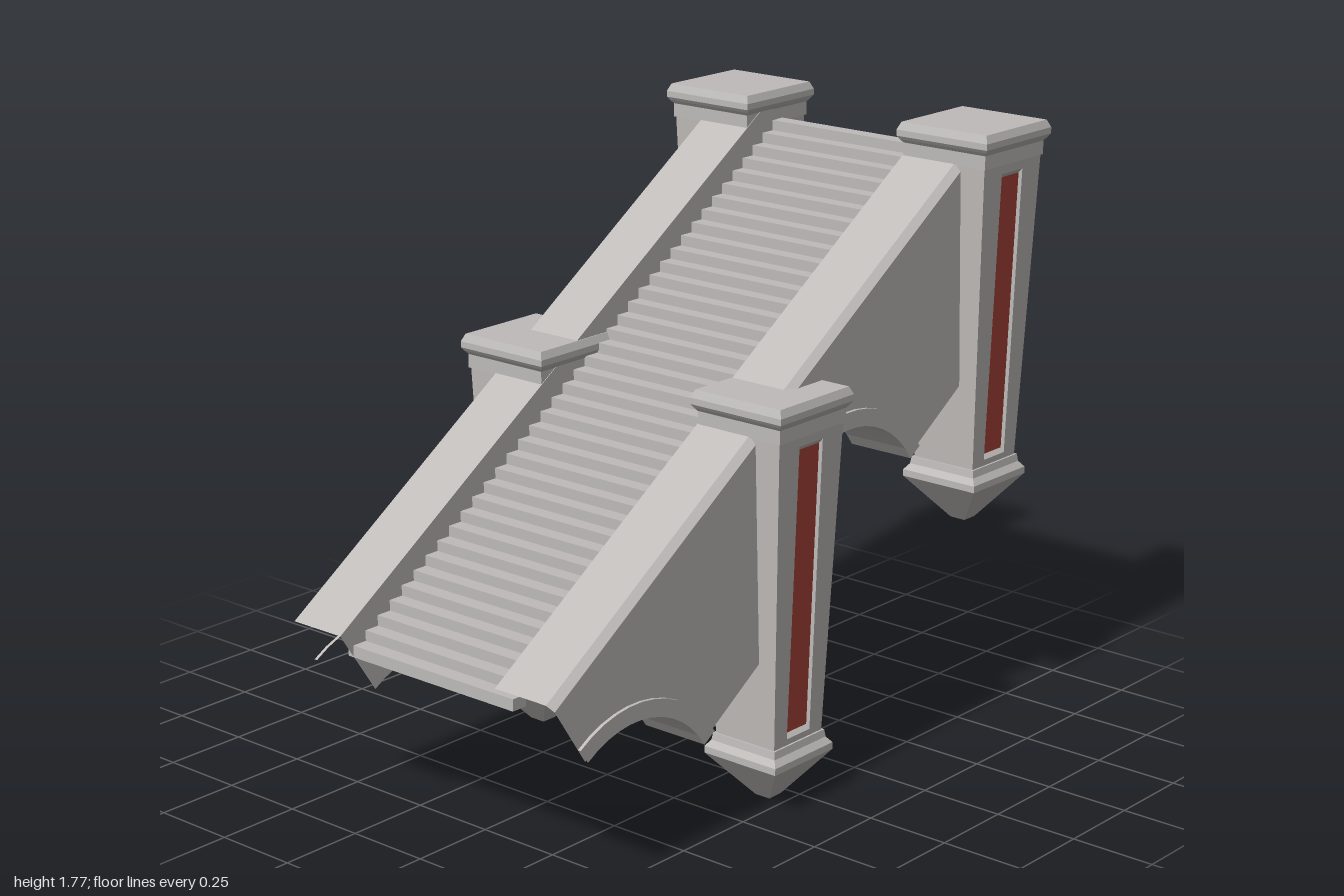
import * as THREE from 'three';
import { mergeGeometries } from 'three/addons/utils/BufferGeometryUtils.js';

const CX = 0.43, RUN = 0.9, RISE = 0.59;           // pillar offset and spacing
const RECESS = 0.014;
const SH0 = 0.19, SH1 = 1.085;                     // shaft bottom and top
const half = (y) => 0.104 + (y - SH0) / (SH1 - SH0) * 0.033;

// flat-shaded geometry without uv, ready for merging
function flat(geo) {
  const g = geo.index ? geo.toNonIndexed() : geo;
  g.deleteAttribute('uv');
  g.clearGroups();
  g.computeVertexNormals();
  return g;
}

// reverse the winding of a non-indexed geometry
function flip(g) {
  const p = g.attributes.position;
  for (let i = 0; i < p.count; i += 3) {
    for (const k of ['X', 'Y', 'Z']) {
      const a = p['get' + k](i + 1), b = p['get' + k](i + 2);
      p['set' + k](i + 1, b);
      p['set' + k](i + 2, a);
    }
  }
  g.computeVertexNormals();
  return g;
}
const mirrorX = (g) => flip(g.clone().scale(-1, 1, 1));

function moveVertices(g, rule) {
  const p = g.attributes.position, v = new THREE.Vector3();
  for (let i = 0; i < p.count; i++) {
    v.fromBufferAttribute(p, i);
    rule(v);
    p.setXYZ(i, v.x, v.y, v.z);
  }
  return g;
}

// four-sided turned solid from [half width, y] pairs
function square(profile) {
  const pts = profile.map(([h, y]) => new THREE.Vector2(h * Math.SQRT2, y));
  return new THREE.LatheGeometry(pts, 4, Math.PI / 4);
}

// open band along a 2D path, from depth d0 to d1 (d0b / d1b may slant the far edge)
function band(path, d0, d1) {
  const pos = [];
  for (let i = 0; i + 1 < path.length; i++) {
    const [a, b] = [path[i], path[i + 1]];
    pos.push(a.x, a.y, d0, b.x, b.y, d0, b.x, b.y, d1, a.x, a.y, d0, b.x, b.y, d1, a.x, a.y, d1);
  }
  const g = new THREE.BufferGeometry();
  g.setAttribute('position', new THREE.Float32BufferAttribute(pos, 3));
  return flat(g);
}

const v2 = (x, y) => new THREE.Vector2(x, y);
function arc(cx, r, from, to, n = 24) {
  const out = [];
  for (let i = 0; i <= n; i++) {
    const a = (from + (to - from) * i / n) * Math.PI / 180;
    out.push(v2(cx + r * Math.cos(a), r * Math.sin(a)));
  }
  return out;
}

// pillar masonry and its two recessed panels
function pillarParts() {
  const base = square([[0, 0], [0.025, 0], [0.127, 0.13], [0.127, 0.15], [0.113, 0.168], [0.11, SH0], [0, SH0]]);
  const cap = square([[0, SH1], [0.142, SH1], [0.142, 1.125], [0.15, 1.135], [0.157, 1.145],
    [0.157, 1.163], [0.147, 1.185], [0, 1.185]]);
  const core = moveVertices(square([[half(SH0), SH0], [half(SH1), SH1]]),
    (v) => { v.x -= Math.sign(v.x) * RECESS; });

  // frame around the panel, with sloping sill and head
  const W = 0.05, Y0 = 0.208, Y1 = 1.058;
  const shape = new THREE.Shape([v2(-half(SH0), SH0), v2(half(SH0), SH0), v2(half(SH1), SH1), v2(-half(SH1), SH1)]);
  shape.holes.push(new THREE.Path([v2(-W, Y0), v2(-W, Y1), v2(W, Y1), v2(W, Y0)]));
  const frame = new THREE.ExtrudeGeometry(shape, { depth: RECESS, bevelEnabled: false });
  moveVertices(frame, (v) => {
    const lean = half(v.y) - RECESS;
    if (v.z < 0.001 && Math.abs(v.x) < 0.06) v.y += v.y < 0.6 ? 0.015 : -0.015;
    v.z += lean;
  });
  frame.rotateY(Math.PI / 2);

  const panel = new THREE.BoxGeometry(2 * W, Y1 - Y0 - 0.02, 0.004);
  panel.translate(0, (Y0 + Y1) / 2, 0);
  moveVertices(panel, (v) => { v.z += half(v.y) - RECESS; });
  panel.rotateY(Math.PI / 2);

  return {
    stone: mergeGeometries([base, cap, core, frame, frame.clone().rotateY(Math.PI)].map(flat)),
    panels: mergeGeometries([panel, panel.clone().rotateY(Math.PI)].map(flat)),
  };
}

// sloping parapet: x along the slope, y across it, z the model's width
function parapetParts() {
  const L = Math.hypot(RUN, RISE), R = 0.336, H = 0.561, RT = 0.386;
  const IN = 0.286, OUT = 0.485, TRIM = 0.495, C = 0.02;
  const arches = [arc(0, R, 0, 90, 12), arc(L, R, 0, 180), arc(2 * L, R, 90, 180, 12)];
  const outline = (h) => new THREE.Shape([
    v2(0, h), ...arches[0].slice().reverse(), ...arches[1].slice().reverse(),
    ...arches[2].slice().reverse(), v2(2 * L, h)]);

  const walls = [
    flat(new THREE.ShapeGeometry(outline(H - C)).translate(0, 0, OUT)),
    flip(flat(new THREE.ShapeGeometry(outline(H)).translate(0, 0, IN))),
    band([v2(2 * L, H), v2(0, H)], IN, OUT - C),
    band([v2(R, 0), v2(L - R, 0)], IN, OUT),
    band([v2(L + R, 0), v2(2 * L - R, 0)], IN, OUT),
  ];
  // chamfer along the outer top edge
  walls.push(moveVertices(band([v2(2 * L, H), v2(0, H)], OUT - C, OUT),
    (v) => { if (v.z > OUT - C / 2) v.y -= C; }));
  walls[walls.length - 1].computeVertexNormals();

  // arch soffits and raised trim
  const trim = [];
  [[0, 0, 90], [L, 0, 180], [2 * L, 90, 180]].forEach(([c, a, b], i) => {
    const n = arches[i].length - 1;
    const outer = arc(c, RT, a, b, n);
    trim.push(band(arches[i].slice().reverse(), IN, TRIM));
    trim.push(band(outer, OUT, TRIM));
    const face = new THREE.Shape([...outer, ...arches[i].slice().reverse()]);
    trim.push(flat(new THREE.ShapeGeometry(face).translate(0, 0, TRIM)));
  });

  // lay the slope into the model
  const c = RUN / L, s = RISE / L;
  const m = new THREE.Matrix4().makeBasis(
    new THREE.Vector3(0, s, -c), new THREE.Vector3(0, c, s), new THREE.Vector3(1, 0, 0));
  m.setPosition(0, 0.094, 0.69);
  return {
    wall: mergeGeometries(walls).applyMatrix4(m),
    trim: mergeGeometries(trim).applyMatrix4(m),
  };
}

export function createModel() {
  const stone = new THREE.MeshStandardMaterial({ color: 0xbebbb9 });
  stone.name = 'greyStone';
  const red = new THREE.MeshStandardMaterial({ color: 0xaa4438 });
  red.name = 'redPanel';

  const model = new THREE.Group();
  model.name = 'bridgeStairs';
  const add = (parent, geo, mat, name) => {
    const mesh = new THREE.Mesh(geo, mat);
    mesh.name = name;
    parent.add(mesh);
    return mesh;
  };

  // four pillars
  const pillar = pillarParts();
  for (const [side, sx] of [['left', 1], ['right', -1]]) {
    for (const [place, k] of [['Lower', 0], ['Upper', 1]]) {
      const g = new THREE.Group();
      g.name = side + place + 'Pillar';
      g.position.set(sx * CX, k * RISE, 0.055 - k * RUN);
      add(g, pillar.stone, stone, 'pillarStone');
      add(g, pillar.panels, red, 'pillarPanels');
      model.add(g);
    }
  }

  // parapets on both sides
  const parapet = parapetParts();
  add(model, parapet.wall, stone, 'leftParapet');
  add(model, parapet.trim, stone, 'leftArchTrim');
  add(model, mirrorX(parapet.wall), stone, 'rightParapet');
  add(model, mirrorX(parapet.trim), stone, 'rightArchTrim');

  // flight of steps
  const N = 39, run = 1.82 / N, rise = 0.0305;
  const steps = [];
  for (let i = 0; i < N; i++) {
    const b = new THREE.BoxGeometry(0.61, 0.034, run + 0.002);
    b.translate(0, 0.507 + i * rise, 0.95 - (i + 0.5) * run);
    steps.push(flat(b));
  }
  add(model, mergeGeometries(steps), stone, 'steps');
  return model;
}
